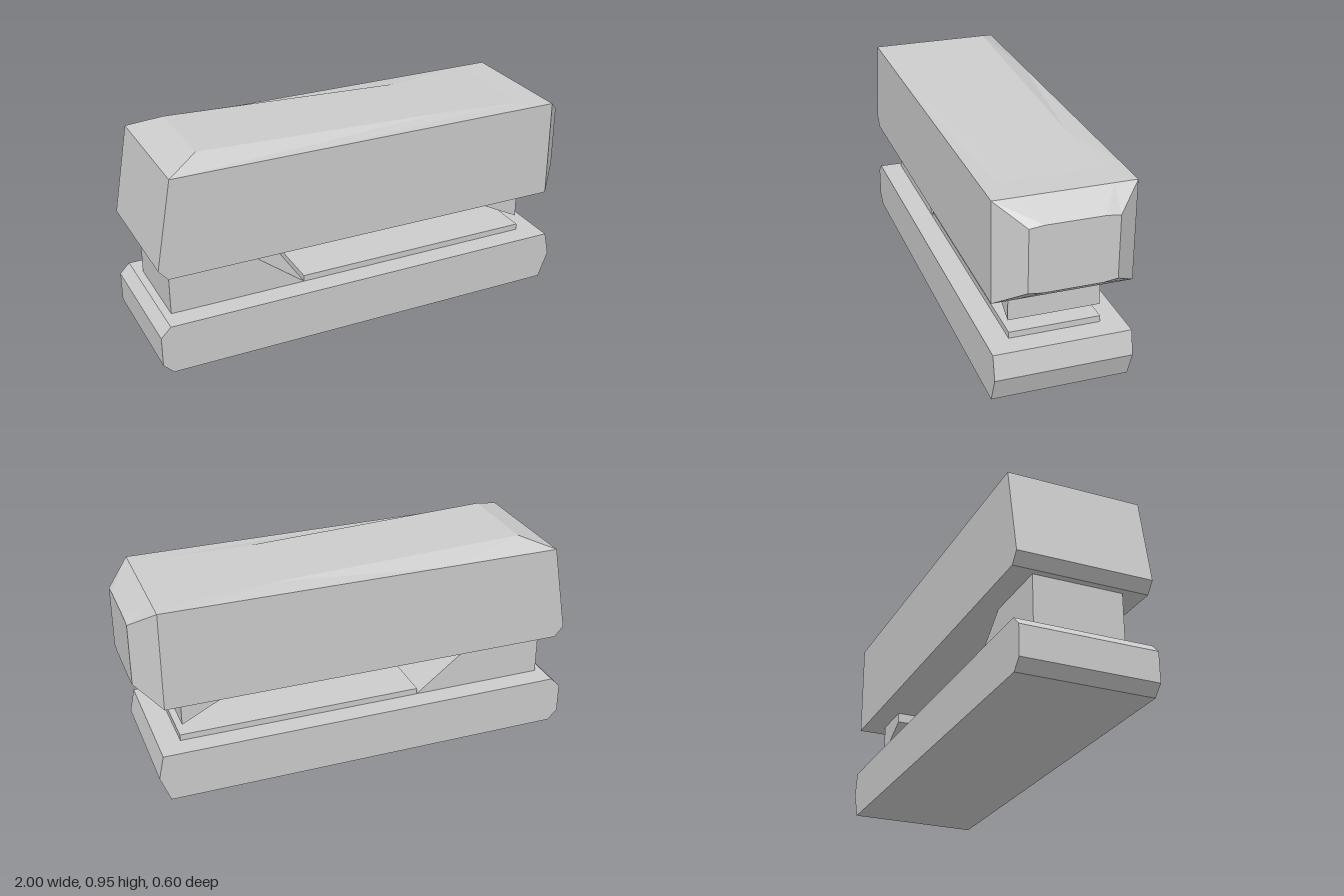
import * as THREE from 'three';

const material = new THREE.MeshStandardMaterial({ color: 0xcccccc, flatShading: true });

function addMesh(group, name, geometry) {
  const mesh = new THREE.Mesh(geometry, material);
  mesh.name = name;
  group.add(mesh);
}

// Side profile in x and y, extruded evenly about z = 0
function slab(profile, halfWidth) {
  const shape = new THREE.Shape(profile.map(([x, y]) => new THREE.Vector2(x, y)));
  const geometry = new THREE.ExtrudeGeometry(shape, { depth: 2 * halfWidth, bevelEnabled: false });
  return geometry.translate(0, 0, -halfWidth);
}

// Surface through rows of points running from +z to -z, rows following +x
function loft(rows) {
  const n = rows[0].length;
  const index = [];
  for (let i = 0; i < rows.length - 1; i++) {
    for (let j = 0; j < n - 1; j++) {
      const a = i * n + j, b = a + n;
      index.push(a, b, b + 1, a, b + 1, a + 1);
    }
  }
  const geometry = new THREE.BufferGeometry();
  geometry.setAttribute('position', new THREE.Float32BufferAttribute(rows.flat(2), 3));
  geometry.setIndex(index);
  const flat = geometry.toNonIndexed();
  flat.computeVertexNormals();
  return flat;
}

export function createModel() {
  const group = new THREE.Group();

  // Base with chamfered ends
  addMesh(group, 'base', slab([
    [-1, 0.045], [-0.955, 0], [0.895, 0], [0.94, 0.117], [0.917, 0.225], [-0.955, 0.225], [-1, 0.18],
  ], 0.3));

  // Rear hinge block with sloping front
  addMesh(group, 'hingeBlock', slab([[-0.92, 0.22], [-0.295, 0.22], [-0.605, 0.46], [-0.92, 0.46]], 0.2));

  // Thin plate on the base
  const plate = new THREE.BoxGeometry(1.12, 0.035, 0.4);
  plate.translate(0.258, 0.236, 0);
  addMesh(group, 'anvilPlate', plate);

  // Wedge below the nose
  addMesh(group, 'jaw', slab([[0.6, 0.46], [0.6, 0.408], [0.805, 0.303], [0.805, 0.46]], 0.2));

  // Main arm
  addMesh(group, 'arm', slab([
    [-0.95, 0.453], [0.895, 0.453], [0.895, 0.9], [-0.917, 0.9], [-0.99, 0.5],
  ], 0.3));

  // Tapered nose: [y, z] around the ring, closed by collapsing to its centre
  const root = [[0.9, 0.3], [0.9, 0.2], [0.9, -0.2], [0.9, -0.3], [0.453, -0.3], [0.453, -0.2], [0.453, 0.2], [0.453, 0.3]];
  const tip = [[0.815, 0.187], [0.822, 0.125], [0.822, -0.125], [0.815, -0.187],
    [0.537, -0.187], [0.529, -0.125], [0.529, 0.125], [0.537, 0.187]];
  const ring = (x, points) => [...points, points[0]].map(([y, z]) => [x, y, z]);
  addMesh(group, 'nose', loft([
    ring(0.895, root), ring(1, tip), ring(1, tip.map(() => [0.676, 0])),
  ]));

  // Raised cover: outer edge x, then ridge x, y and half width
  const stations = [
    [-0.917, -0.917, 0.9, 0.3],
    [-0.917, -0.77, 0.953, 0.206],
    [-0.4, 0.38, 0.911, 0.2],
    [0.75, 0.76, 0.902, 0.23],
    [0.895, 0.895, 0.9, 0.3],
  ];
  addMesh(group, 'cover', loft(stations.map(([edge, x, y, w]) => [
    [edge, 0.9, 0.3], [x, y, w], [x, y, -w], [edge, 0.9, -0.3],
  ])));

  return group;
}
